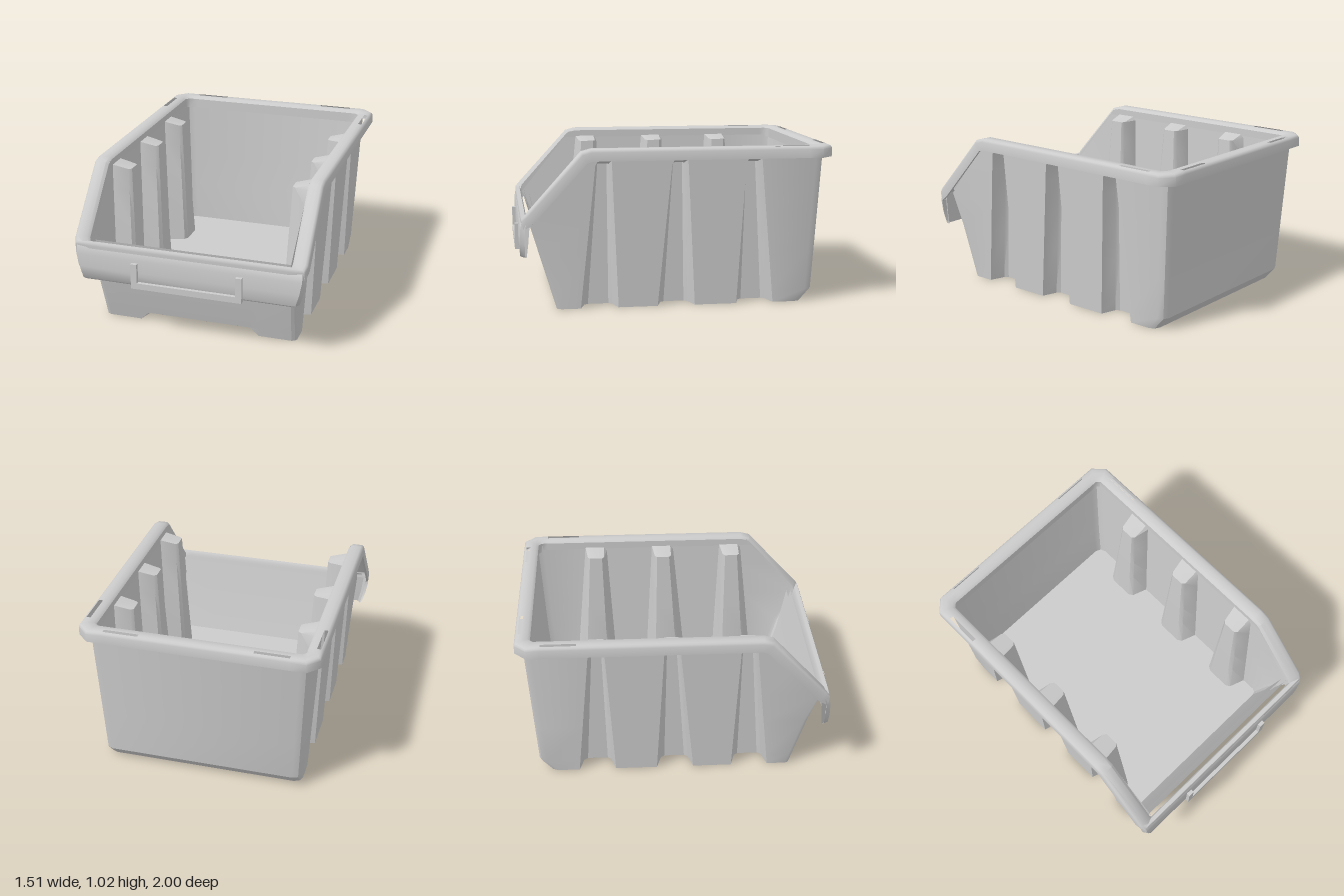
import * as THREE from 'three';
import { toCreasedNormals } from 'three/addons/utils/BufferGeometryUtils.js';

const material = new THREE.MeshStandardMaterial({ color: 0xcccccc, side: THREE.DoubleSide });

// Surface through rows of [x, y, z] points; skip(i, j) leaves a cell open
function grid(name, rows, skip = () => false, crease = 0.6) {
  const n = rows[0].length, index = [];
  for (let i = 0; i < rows.length - 1; i++)
    for (let j = 0; j < n - 1; j++) {
      if (skip(i, j)) continue;
      const a = i * n + j, b = a + 1, c = a + n, d = c + 1;
      index.push(a, b, d, a, d, c);
    }
  const g = new THREE.BufferGeometry();
  g.setAttribute('position', new THREE.Float32BufferAttribute(rows.flat(2), 3));
  g.setIndex(index);
  const mesh = new THREE.Mesh(toCreasedNormals(g, crease), material);
  mesh.name = name;
  return mesh;
}

function box(name, w, h, d, x, y, z) {
  const mesh = new THREE.Mesh(new THREE.BoxGeometry(w, h, d), material);
  mesh.position.set(x, y, z);
  mesh.name = name;
  return mesh;
}

// Tapered outline of the bin at height y
const sideX = y => 0.645 + 0.045 * y;
const frontZ = y => (y <= 0.57 ? 0.75 + 0.3 * y : 0.92 - (y - 0.57) * 0.81);
const backZ = y => (y < 0.08 ? -0.83 - 0.9 * y : -0.9 - 0.06 * (y - 0.08));
const frontRadius = y => (y < 0.5 ? 0.03 : 0);
const columns = [[0.48, 0.45], [-0.01, -0.03], [-0.52, -0.5]]; // z at bottom, top

// Left half of the outline, front to back, with three recessed columns
function halfSection(y, t, capY) {
  const x = sideX(y) - t, zf = frontZ(y) - (y < 0.57 ? t : 0), zb = backZ(y) + t;
  const r = frontRadius(y), depth = y <= capY ? 0.12 : 0;
  const pts = [[x - r, zf], [x - r * 0.3, zf - r * 0.3], [x, zf - r]];
  for (const [c0, c1] of columns) {
    const c = THREE.MathUtils.lerp(c0, c1, y), w = 0.12 - 0.075 * y + t * 0.9;
    pts.push([x, c + w], [x - depth * 0.85, c + w * 0.75], [x - depth, c + w * 0.55],
      [x - depth, c - w * 0.55], [x - depth * 0.85, c - w * 0.75], [x, c - w]);
  }
  pts.push([x, zb + 0.05], [x - 0.015, zb + 0.015], [x - 0.05, zb]);
  return pts;
}

// Sides and back as one sheet
function shell(name, ys, t, capY) {
  return grid(name, ys.map(y => {
    const half = halfSection(y, t, capY);
    const other = half.map(([x, z]) => [-x, z]).reverse();
    return [...half, ...other].map(([x, z]) => [x, y, z]);
  }));
}

// Low front wall, raised between its two feet when it reaches the ground
function frontWall(name, ys, t) {
  return grid(name, ys.map(y => {
    const e = sideX(y) - t - frontRadius(y), z = frontZ(y) - t;
    return [-e, -0.4, -0.34, 0.34, 0.4, e].map((x, j) =>
      [x, y === 0 && (j === 2 || j === 3) ? 0.05 : y, z]);
  }));
}

// Rolled rim following the top edge all the way round
function rim() {
  const half = [ // base point, outward, up
    [[0, 1, -0.915], [0, 0, -1], [0, 1, 0]],
    [[0.36, 1, -0.915], [0, 0, -1], [0, 1, 0]],
    [[0.58, 1, -0.915], [0, 0, -1], [0, 1, 0]],
    [[0.64, 1, -0.915], [0.5, 0, -1], [0, 1, 0]],
    [[0.67, 1, -0.885], [1, 0, -0.5], [0, 1, 0]],
    [[0.67, 1, -0.84], [1, 0, 0], [0, 1, 0]],
    [[0.67, 1, -0.62], [1, 0, 0], [0, 1, 0]],
    [[0.67, 1, 0.53], [1, 0, 0], [0, 1, 0.1]],
    [[0.67, 0.985, 0.585], [1, 0, 0], [0, 0.9, 0.5]],
    [[0.67, 0.61, 0.92], [1, 0, 0.1], [0, 0.8, 0.6]],
    [[0.66, 0.58, 0.935], [0.95, 0, 0.35], [0, 1, 0.2]],
    [[0.62, 0.58, 0.935], [0.3, 0, 0.4], [0, 1, 0.1]],
    [[0, 0.58, 0.935], [0, 0, 0.4], [0, 1, 0.1]],
  ];
  const flip = v => [-v[0], v[1], v[2]];
  const path = [...half, ...half.slice(0, -1).reverse().map(s => s.map(flip))];
  const profile = [[-0.012, -0.06], [-0.012, 0.005], [0.005, 0.02], [0.042, 0.02],
    [0.068, 0.02], [0.08, 0.013], [0.086, 0], [0.086, -0.055], [0.072, -0.055]];
  const rows = path.map(([p, out, up]) =>
    profile.map(([o, u]) => p.map((v, k) => v + out[k] * o + up[k] * u)));
  const last = path.length - 2;
  // Open slots on both sides and at the back
  return grid('rim', rows, (i, j) => j === 3 && [1, 5, last - 1, last - 5].includes(i), 0.8);
}

export function createModel() {
  const bin = new THREE.Group();
  bin.name = 'storageBin';

  // Walls, outside and inside
  bin.add(shell('outerWalls', [0, 0.08, 0.35, 0.57, 0.8, 0.91, 0.94, 1], 0, 0.91));
  bin.add(shell('innerWalls', [0.07, 0.35, 0.57, 0.8, 0.94, 0.965, 1], 0.03, 0.94));
  bin.add(frontWall('outerFrontWall', [0, 0.06, 0.3, 0.585], 0));
  bin.add(frontWall('innerFrontWall', [0.07, 0.3, 0.585], 0.03));

  // Floor: flat inside, a raised channel between two runners underneath
  bin.add(grid('floor', halfSection(0.07, 0.03, 1).map(([x, z]) => [[x, 0.07, z], [-x, 0.07, z]])));
  bin.add(grid('underside', halfSection(0, 0, 1).map(([x, z]) =>
    [[x, 0, z], [0.4, 0, z], [0.34, 0.05, z], [-0.34, 0.05, z], [-0.4, 0, z], [-x, 0, z]])));
  for (const z of [0.6, 0.36, 0.11, -0.13, -0.4, -0.64])
    bin.add(box('floorRib', 0.74, 0.03, 0.02, 0, 0.04, z));

  bin.add(rim());
  for (const s of [-1, 1]) bin.add(box('slotBottom', 0.24, 0.01, 0.04, s * 0.47, 0.985, -0.97));

  // Front lip hanging clear of the wall
  const lip = [[0.715, 0.59, 0.945], [0.75, 0.575, 0.965], [0.75, 0.52, 0.975], [0.735, 0.44, 0.978],
    [0.712, 0.36, 0.975], [0.7, 0.35, 0.965], [0.72, 0.44, 0.955], [0.735, 0.56, 0.945]];
  bin.add(grid('frontLip', lip.map(([x, y, z]) =>
    [[-x, y, z - 0.03], [-x + 0.02, y, z], [x - 0.02, y, z], [x, y, z - 0.03]]), undefined, 0.9));

  // Label holder on the lip
  const holder = new THREE.Group();
  holder.name = 'labelHolder';
  for (const s of [-1, 1]) holder.add(box('holderSide', 0.04, 0.165, 0.04, s * 0.34, 0.423, 0.98));
  holder.add(box('holderBottom', 0.72, 0.04, 0.04, 0, 0.36, 0.98));
  bin.add(holder);

  return bin;
}
